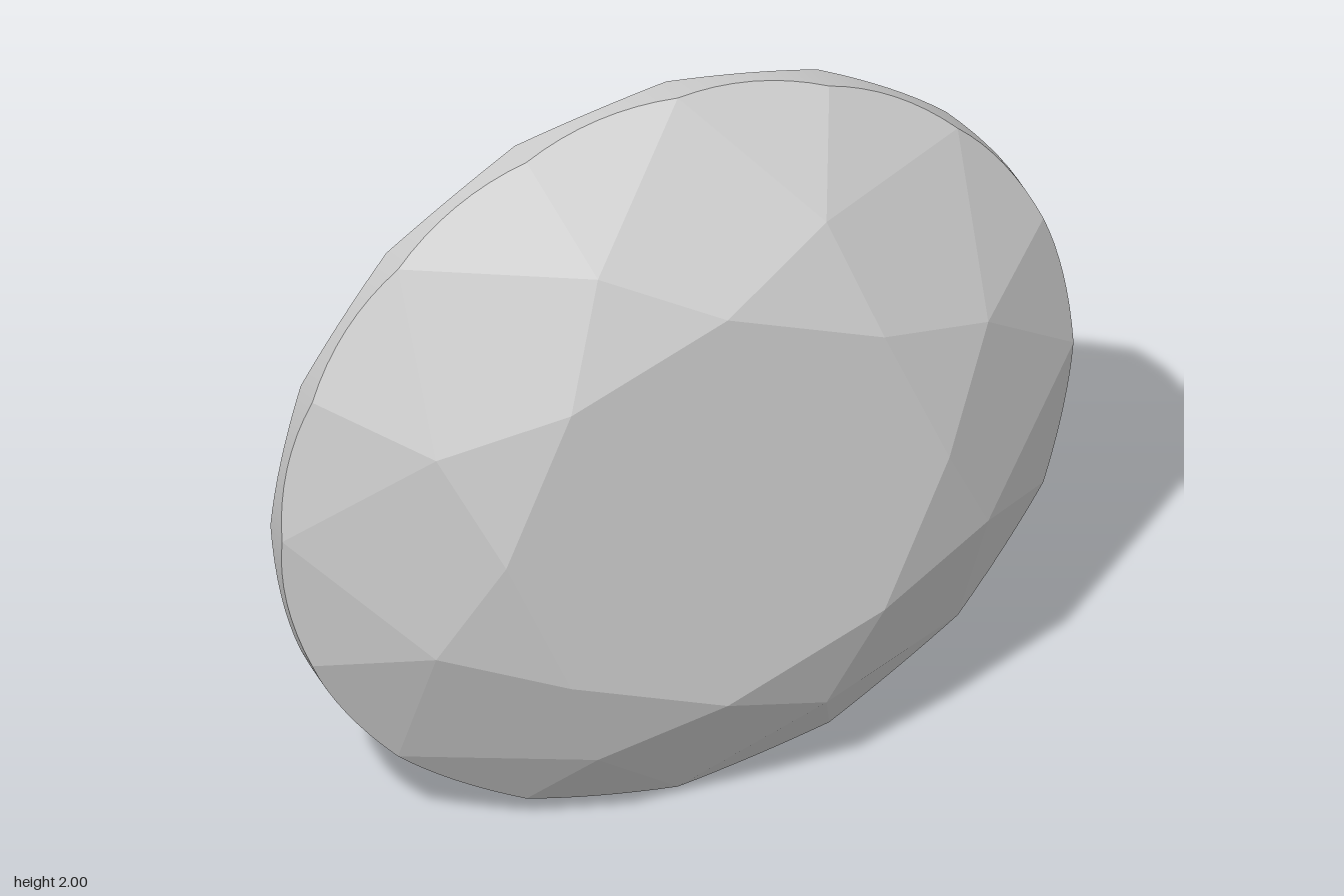
import * as THREE from 'three';

const STEP = Math.PI / 8;   // sixteen girdle sectors
const ARC = 8;              // arc segments per sector
const TABLE_Z = 0.62, CULET_Z = -0.62;
const CROWN_Z = 0.32, PAVILION_Z = 0.25;

// Point at a radius, a sector number and a depth; the stone's axis is z at y = 1
const point = (r, sector, z) =>
  new THREE.Vector3(r * Math.cos(sector * STEP), 1 + r * Math.sin(sector * STEP), z);

// Fan a convex planar facet into triangles
function addFacet(out, pts) {
  for (let i = 1; i < pts.length - 1; i++) {
    for (const p of [pts[0], pts[i], pts[i + 1]]) out.push(p.x, p.y, p.z);
  }
}

// Scalloped edge: where the plane through an apex and two girdle points cuts the round girdle
function scallop(apex, sector, z) {
  const plane = new THREE.Plane().setFromCoplanarPoints(apex, point(1, sector, z), point(1, sector + 1, z));
  const pts = [];
  for (let j = 0; j <= ARC; j++) {
    const p = point(1, sector + j / ARC, 0);
    p.z = -(plane.constant + plane.normal.x * p.x + plane.normal.y * p.y) / plane.normal.z;
    pts.push(p);
  }
  return pts;
}

function makeMesh(name, positions, material, index) {
  const geometry = new THREE.BufferGeometry();
  geometry.setAttribute('position', new THREE.Float32BufferAttribute(positions, 3));
  if (index) geometry.setIndex(index);
  geometry.computeVertexNormals();
  const mesh = new THREE.Mesh(geometry, material);
  mesh.name = name;
  return mesh;
}

export function createModel() {
  const group = new THREE.Group();
  group.name = 'brilliantCutGem';
  const faceted = new THREE.MeshStandardMaterial({ color: 0xcccccc, flatShading: true });
  const smooth = new THREE.MeshStandardMaterial({ color: 0xcccccc });

  const tableCorner = (s) => point(0.56, s, TABLE_Z);
  const starTip = (s) => point(0.755, s, 0.526);
  const lowerTip = (s) => point(0.21, s, -0.451);
  const culet = point(0, 0, CULET_Z);

  const table = [], stars = [], bezels = [], upperGirdle = [], mains = [], lowerGirdle = [];
  const crownEdge = [], pavilionEdge = [];

  // Flat octagonal table
  addFacet(table, Array.from({ length: 8 }, (_, i) => tableCorner(i * 2)));

  for (let s = 0; s < 16; s += 2) {
    // Crown: star triangles and bezel kites
    addFacet(stars, [tableCorner(s), starTip(s + 1), tableCorner(s + 2)]);
    addFacet(bezels, [tableCorner(s), starTip(s - 1), point(1, s, CROWN_Z), starTip(s + 1)]);
    // Pavilion: long main kites meeting at the culet
    addFacet(mains, [culet, lowerTip(s + 1), point(1, s, PAVILION_Z), lowerTip(s - 1)]);
    // Paired facets against the girdle, either side of each tip
    for (const k of [s, s + 1]) {
      const top = scallop(starTip(s + 1), k, CROWN_Z);
      const bottom = scallop(lowerTip(s + 1), k, PAVILION_Z);
      addFacet(upperGirdle, [starTip(s + 1), ...top]);
      addFacet(lowerGirdle, [lowerTip(s + 1), ...bottom.slice().reverse()]);
      crownEdge.push(...top.slice(0, ARC));
      pavilionEdge.push(...bottom.slice(0, ARC));
    }
  }

  // Smooth round girdle band between the two scalloped edges
  const n = crownEdge.length, band = [], index = [];
  for (let i = 0; i < n; i++) {
    band.push(...crownEdge[i].toArray(), ...pavilionEdge[i].toArray());
    const a = i * 2, b = ((i + 1) % n) * 2;
    index.push(a, a + 1, b + 1, a, b + 1, b);
  }

  group.add(
    makeMesh('table', table, faceted),
    makeMesh('starFacets', stars, faceted),
    makeMesh('bezelFacets', bezels, faceted),
    makeMesh('upperGirdleFacets', upperGirdle, faceted),
    makeMesh('girdle', band, smooth, index),
    makeMesh('lowerGirdleFacets', lowerGirdle, faceted),
    makeMesh('pavilionMainFacets', mains, faceted),
  );
  return group;
}
